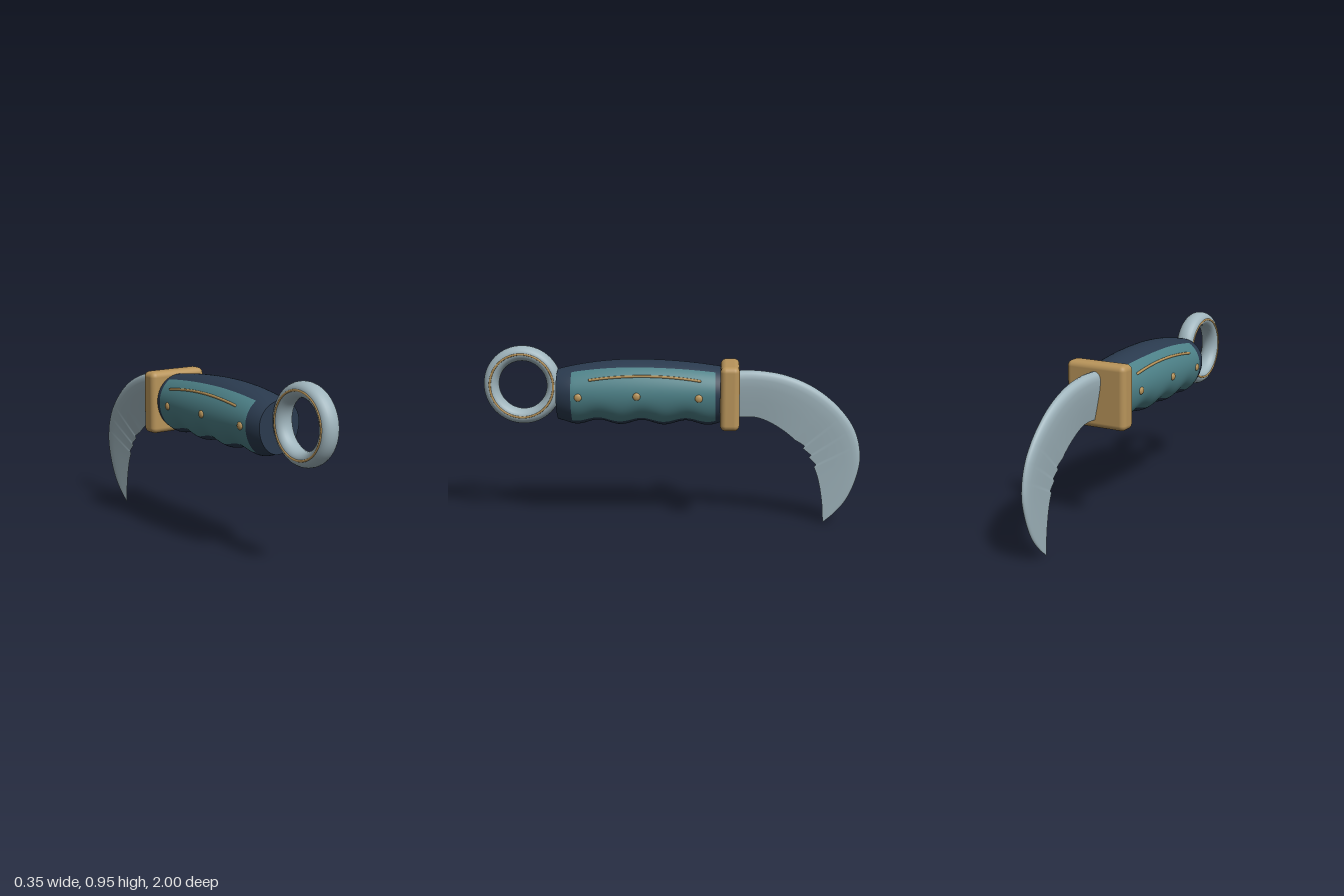
import * as THREE from 'three';
import { RoundedBoxGeometry } from 'three/addons/geometries/RoundedBoxGeometry.js';

const material = (name, color) => {
  const m = new THREE.MeshStandardMaterial({ color });
  m.name = name;
  return m;
};

// Skin closed rings of points; pick(row, column) gives the material index
function loft(rings, pick = () => 0, count = 1) {
  const n = rings[0].length;
  const lists = Array.from({ length: count }, () => []);
  for (let i = 0; i < rings.length - 1; i++) {
    for (let j = 0; j < n; j++) {
      const k = (j + 1) % n;
      const a = i * n + j, b = i * n + k, c = b + n, d = a + n;
      lists[pick(i, j)].push(a, b, c, a, c, d);
    }
  }
  const geo = new THREE.BufferGeometry().setFromPoints(rings.flat());
  geo.setIndex(lists.flat());
  let start = 0;
  lists.forEach((list, m) => {
    geo.addGroup(start, list.length, m);
    start += list.length;
  });
  geo.computeVertexNormals();
  return geo;
}

// Handle outline along z
const MID = 0.71;
const topY = z => 0.88 - (z > 0.18 ? 0.3 : 0.18) * (z - 0.18) ** 2;
const bottomY = z => 0.547 - 0.012 * Math.cos((2 * Math.PI * (z - 0.04)) / 0.23);
const halfWidth = z => 0.163 - 0.12 * (z - 0.17) ** 2 - 1.6 * Math.max(0, z - 0.5) ** 2;
const sideX = (y, z) =>
  halfWidth(z) * Math.sqrt(1 - ((y - MID) / (topY(z) - MID)) ** 2);

export function createModel() {
  const model = new THREE.Group();
  const steel = material('steel', 0x9fb4bc);
  const teal = material('teal', 0x4d8188);
  const navy = material('navy', 0x2a3a4e);
  const brass = material('brass', 0xb8945a);

  const add = (name, geo, mat, parent = model) => {
    const mesh = new THREE.Mesh(geo, mat);
    mesh.name = name;
    parent.add(mesh);
    return mesh;
  };

  // Grip with finger grooves below and a teal scale on each side
  const SEG = 64, ROWS = 86;
  const gripRing = z => Array.from({ length: SEG }, (_, j) => {
    const a = (j / SEG) * Math.PI * 2, s = Math.sin(a);
    const h = s > 0 ? topY(z) - MID : MID - bottomY(z);
    return new THREE.Vector3(Math.cos(a) * halfWidth(z), MID + s * h, z);
  });
  const rings = Array.from({ length: ROWS + 1 }, (_, i) => gripRing(-0.26 + i * 0.01));
  const onScale = (i, j) => {
    const fromSide = Math.min(j, Math.abs(j + 0.5 - SEG / 2), SEG - 1 - j);
    return i >= 3 && i < 78 && fromSide < 10 ? 1 : 0;
  };
  add('grip', loft(rings, onScale, 2), [navy, teal]);
  const endShape = new THREE.Shape(rings[ROWS].map(p => new THREE.Vector2(p.x, p.y)));
  add('gripEnd', new THREE.ShapeGeometry(endShape).translate(0, 0, 0.6), navy);

  // Guard block
  add('guard', new RoundedBoxGeometry(0.34, 0.335, 0.1, 4, 0.03), brass)
    .position.set(0, 0.6975, -0.305);

  // Finger ring with a brass inlay on both faces
  const fingerRing = new THREE.Group();
  fingerRing.name = 'fingerRing';
  fingerRing.position.set(0, 0.74, 0.79);
  model.add(fingerRing);
  const hoop = new THREE.TorusGeometry(0.168, 0.04, 24, 64);
  hoop.rotateY(Math.PI / 2).scale(1.28, 1, 1);
  add('hoop', hoop, steel, fingerRing);
  for (const side of [1, -1]) {
    const inlay = new THREE.TorusGeometry(0.168, 0.006, 8, 64).rotateY(Math.PI / 2);
    add('hoopInlay', inlay, brass, fingerRing).position.x = side * 0.049;
  }

  // Rivets and inlaid line on each side of the grip
  for (const side of [1, -1]) {
    for (const [y, z] of [[0.7, 0.48], [0.71, 0.175], [0.7, -0.145]]) {
      const rivet = add('rivet', new THREE.SphereGeometry(0.02, 20, 12), brass);
      rivet.scale.x = 0.5;
      rivet.position.set(side * sideX(y, z), y, z);
    }
    const line = Array.from({ length: 13 }, (_, i) => {
      const z = 0.42 - (i / 12) * 0.57;
      const y = 0.811 - 0.28 * (z - 0.14) ** 2;
      return new THREE.Vector3(side * sideX(y, z), y, z);
    });
    const path = new THREE.CatmullRomCurve3(line);
    add('gripInlay', new THREE.TubeGeometry(path, 40, 0.007, 8), brass);
    for (const end of [line[0], line[12]]) {
      add('gripInlayEnd', new THREE.SphereGeometry(0.007, 8, 6), brass).position.copy(end);
    }
  }

  // Hooked blade between a spine curve and an edge curve, given as [z, y]
  const curve = pts =>
    new THREE.CatmullRomCurve3(pts.map(([z, y]) => new THREE.Vector3(0, y, z)));
  const spine = curve([[-0.33, 0.825], [-0.45, 0.825], [-0.6, 0.8], [-0.75, 0.735],
    [-0.88, 0.63], [-0.965, 0.51], [-0.998, 0.37], [-0.98, 0.25], [-0.93, 0.13],
    [-0.87, 0.055], [-0.81, 0.002]]);
  const edge = curve([[-0.33, 0.575], [-0.45, 0.573], [-0.55, 0.53], [-0.65, 0.455],
    [-0.72, 0.37], [-0.77, 0.27], [-0.8, 0.13], [-0.81, 0]]);
  // Half thickness from spine to edge
  const section = [[0, 0], [0.015, 0.4], [0.05, 0.72], [0.1, 0.92], [0.18, 1],
    [0.35, 0.9], [0.6, 0.58], [0.82, 0.27], [1, 0]];
  const bladeRings = Array.from({ length: 161 }, (_, i) => {
    const t = i / 160;
    const s = spine.getPointAt(t), e = edge.getPointAt(t);
    // Three small teeth on the inner curve
    const u = (t - 0.42) / 0.07;
    if (u > 0 && u < 3) e.lerp(s, 0.06 * (u % 1));
    const w = 0.036 * Math.pow(1 - t, 0.7);
    const half = section.map(([v, k]) => s.clone().lerp(e, v).setX(k * w));
    const other = half.map(p => p.clone().setX(-p.x)).reverse();
    return [...half, ...other.slice(0, -1)];
  });
  add('blade', loft(bladeRings), steel);

  return model;
}
